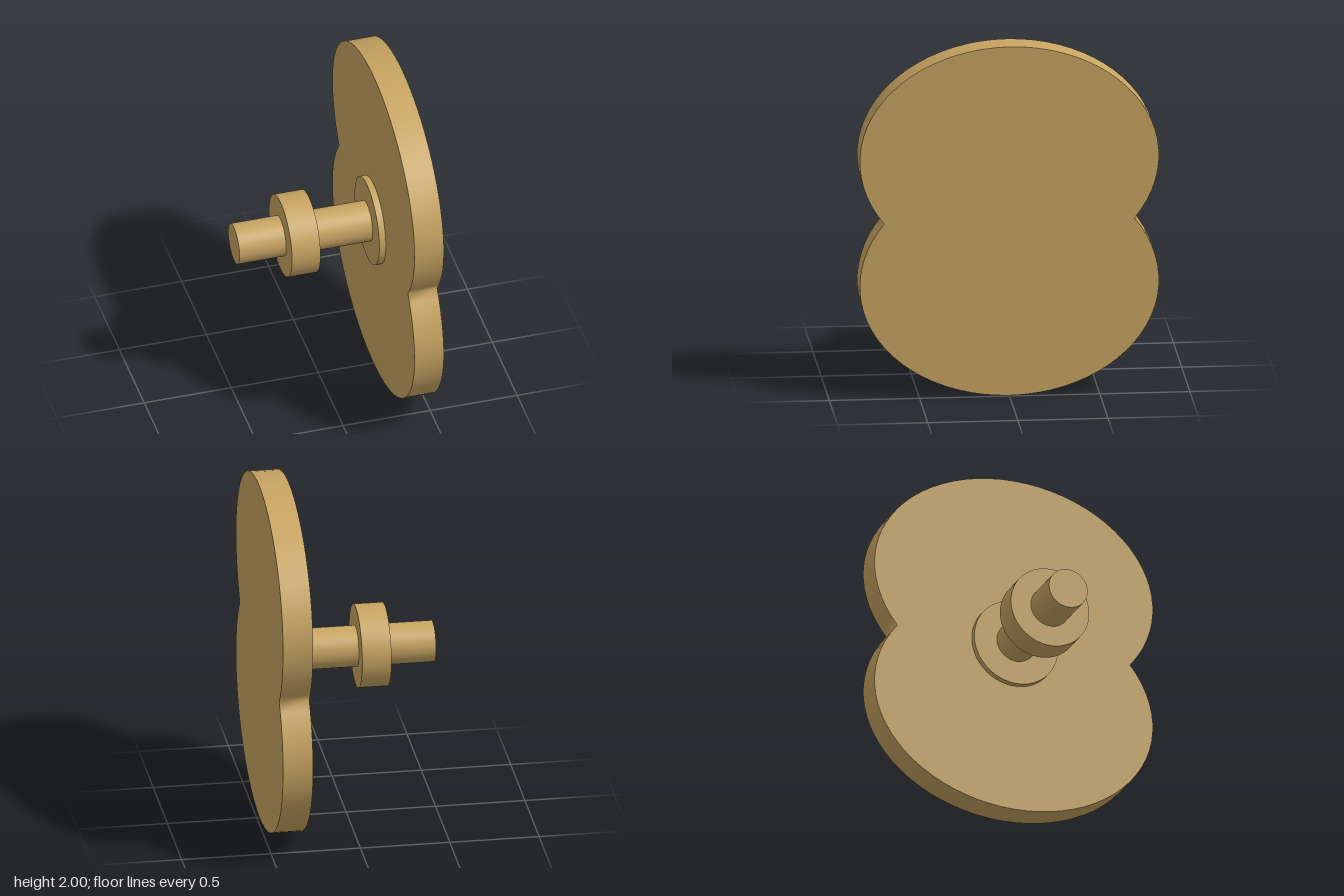
import * as THREE from 'three';
import { toCreasedNormals } from 'three/addons/utils/BufferGeometryUtils.js';

const AXIS_Y = 1;

export function createModel() {
  const model = new THREE.Group();
  const brass = new THREE.MeshStandardMaterial({ color: 0xc8a562 });
  brass.name = 'brass';

  const add = (name, geometry) => {
    const mesh = new THREE.Mesh(geometry, brass);
    mesh.name = name;
    model.add(mesh);
  };

  // Round part lying along x, from x0 to x1
  const round = (name, radius, x0, x1) => {
    const g = new THREE.CylinderGeometry(radius, radius, x1 - x0, 64);
    g.rotateZ(Math.PI / 2);
    g.translate((x0 + x1) / 2, AXIS_Y, 0);
    add(name, g);
  };

  round('shaft', 0.115, -0.485, 0.32);
  round('collar', 0.233, -0.217, -0.053);
  round('hubFlange', 0.25, 0.28, 0.32);

  // Two-lobed cam plate: each lobe is an oval arc ending at the waist
  const halfWidth = 0.83, lobeY = 0.36, upper = 0.64, lower = 0.656;
  const start = -Math.asin(lobeY / lower);
  const steps = 48;
  const lobe = [];
  for (let i = 0; i < steps; i++) {
    const a = start + (Math.PI - 2 * start) * (i / steps);
    const s = Math.sin(a);
    lobe.push(new THREE.Vector2(halfWidth * Math.cos(a), lobeY + s * (s > 0 ? upper : lower)));
  }
  // The second lobe is the first turned half a revolution
  const outline = [...lobe, ...lobe.map((p) => new THREE.Vector2(-p.x, -p.y))];
  const plate = new THREE.ExtrudeGeometry(new THREE.Shape(outline), {
    depth: 0.168, bevelEnabled: false,
  });
  plate.rotateY(Math.PI / 2);
  plate.translate(0.317, AXIS_Y, 0);
  add('camPlate', toCreasedNormals(plate, 1.5));

  return model;
}
